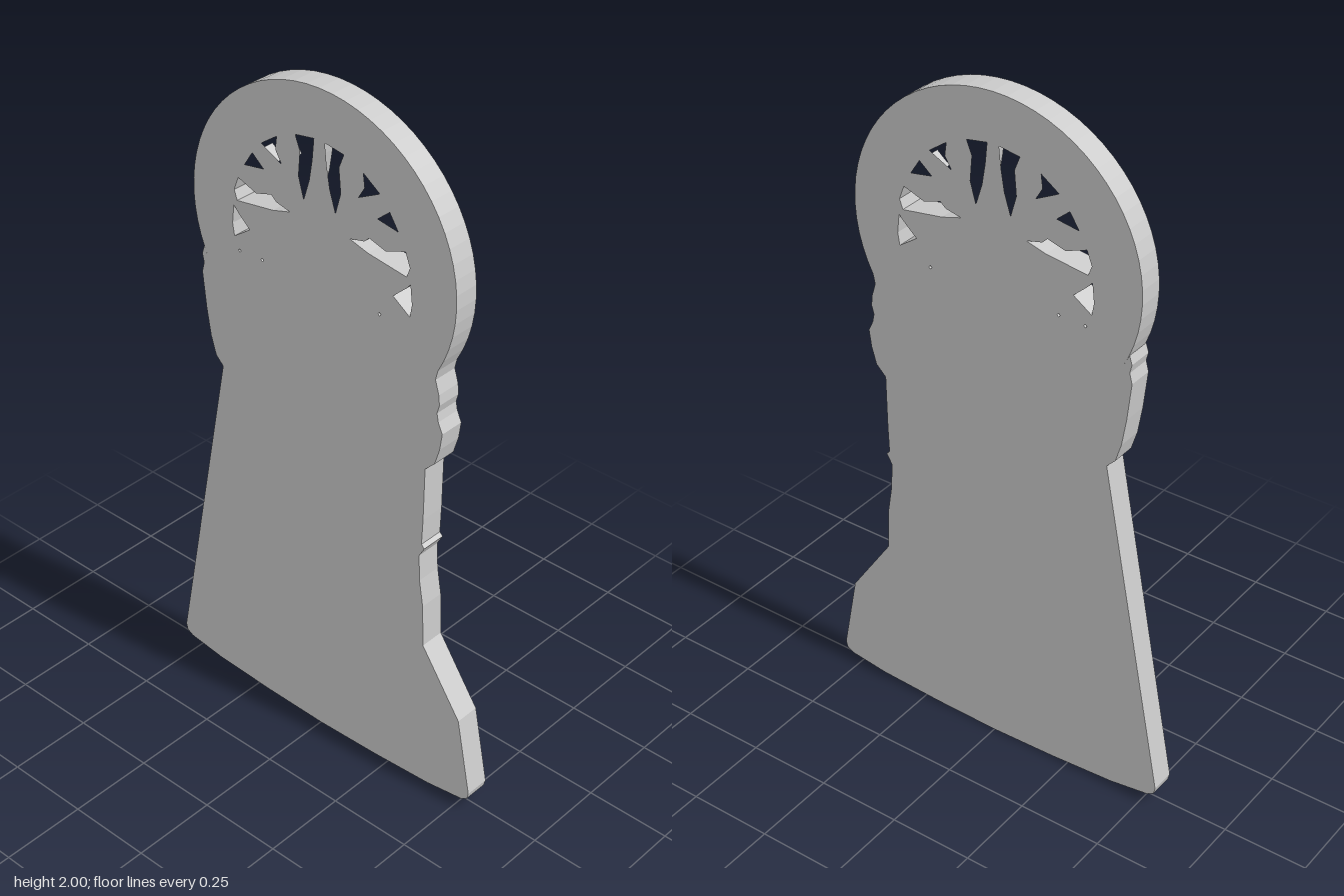
import * as THREE from 'three';

const THICKNESS = 0.074;

// Points are [z, y] pairs in the plane of the blade
const toVectors = (points) => points.map(([z, y]) => new THREE.Vector2(z, y));
const mirrored = (points) => points.map(([z, y]) => [-z, y]).reverse();

// Rounded head, from the rear flank over the top to the front flank
function headArc() {
  const points = [];
  const steps = 44;
  for (let i = 0; i <= steps; i++) {
    const a = THREE.MathUtils.degToRad(208 - (236 * i) / steps);
    points.push([0.443 * Math.cos(a), 1.57 + 0.43 * Math.sin(a)]);
  }
  return points;
}

// Neck and stepped flank on the front edge, going down
const frontFlank = [
  [0.385, 1.34], [0.397, 1.3], [0.4, 1.27], [0.393, 1.245], [0.398, 1.22],
  [0.412, 1.19], [0.405, 1.14], [0.39, 1.09], [0.36, 1.06], [0.358, 0.9],
  [0.355, 0.82], [0.365, 0.81], [0.348, 0.78], [0.352, 0.7], [0.365, 0.62],
  [0.37, 0.49], [0.5, 0.3],
];

// Gently curved cutting edge with rounded corners, front to rear
const halfEdge = [[0.545, 0.065], [0.54, 0.045], [0.52, 0.033], [0.4, 0.016], [0.2, 0.005]];
const cuttingEdge = [...halfEdge, [0, 0], ...mirrored(halfEdge)];

// Neck and straight flank on the rear edge, going up
const rearFlank = [
  [-0.355, 1.06], [-0.38, 1.085], [-0.397, 1.14], [-0.41, 1.22],
  [-0.422, 1.33], [-0.414, 1.36], [-0.42, 1.385], [-0.412, 1.41],
];

// Mounting cut-outs on the front half of the head
const cutouts = [
  // tall slot beside the centre line
  [[0.018, 1.86], [0.08, 1.85], [0.064, 1.81], [0.07, 1.74], [0.053, 1.68], [0.034, 1.74], [0.024, 1.8]],
  // two small wedges
  [[0.143, 1.823], [0.196, 1.786], [0.128, 1.752], [0.148, 1.785]],
  [[0.228, 1.748], [0.256, 1.705], [0.19, 1.716]],
  // long branching slot
  [[0.28, 1.66], [0.217, 1.637], [0.164, 1.653], [0.148, 1.638], [0.1, 1.627],
    [0.16, 1.61], [0.285, 1.592], [0.295, 1.62]],
  // lower wedge
  [[0.298, 1.575], [0.285, 1.56], [0.243, 1.522], [0.298, 1.484], [0.304, 1.52]],
];

// Pin holes: [z, y]
const pinHoles = [[0.2, 1.452], [-0.2, 1.45], [-0.28, 1.447]];

export function createModel() {
  const group = new THREE.Group();
  group.name = 'sawBlade';

  const outline = [...headArc(), ...frontFlank, ...cuttingEdge, ...rearFlank];
  const shape = new THREE.Shape(toVectors(outline));
  for (const points of cutouts) {
    shape.holes.push(new THREE.Path(toVectors(points)));
    shape.holes.push(new THREE.Path(toVectors(mirrored(points))));
  }
  for (const [z, y] of pinHoles) {
    const r = 0.005;
    shape.holes.push(new THREE.Path(toVectors([[z - r, y], [z, y - r], [z + r, y], [z, y + r]])));
  }

  // Flat plate, turned so that its thickness lies along x
  const geometry = new THREE.ExtrudeGeometry(shape, { depth: THICKNESS, bevelEnabled: false });
  geometry.translate(0, 0, -THICKNESS / 2);
  geometry.rotateY(-Math.PI / 2);
  const material = new THREE.MeshStandardMaterial({ color: 0xcccccc, flatShading: true });
  const blade = new THREE.Mesh(geometry, material);
  blade.name = 'bladePlate';
  group.add(blade);

  return group;
}
